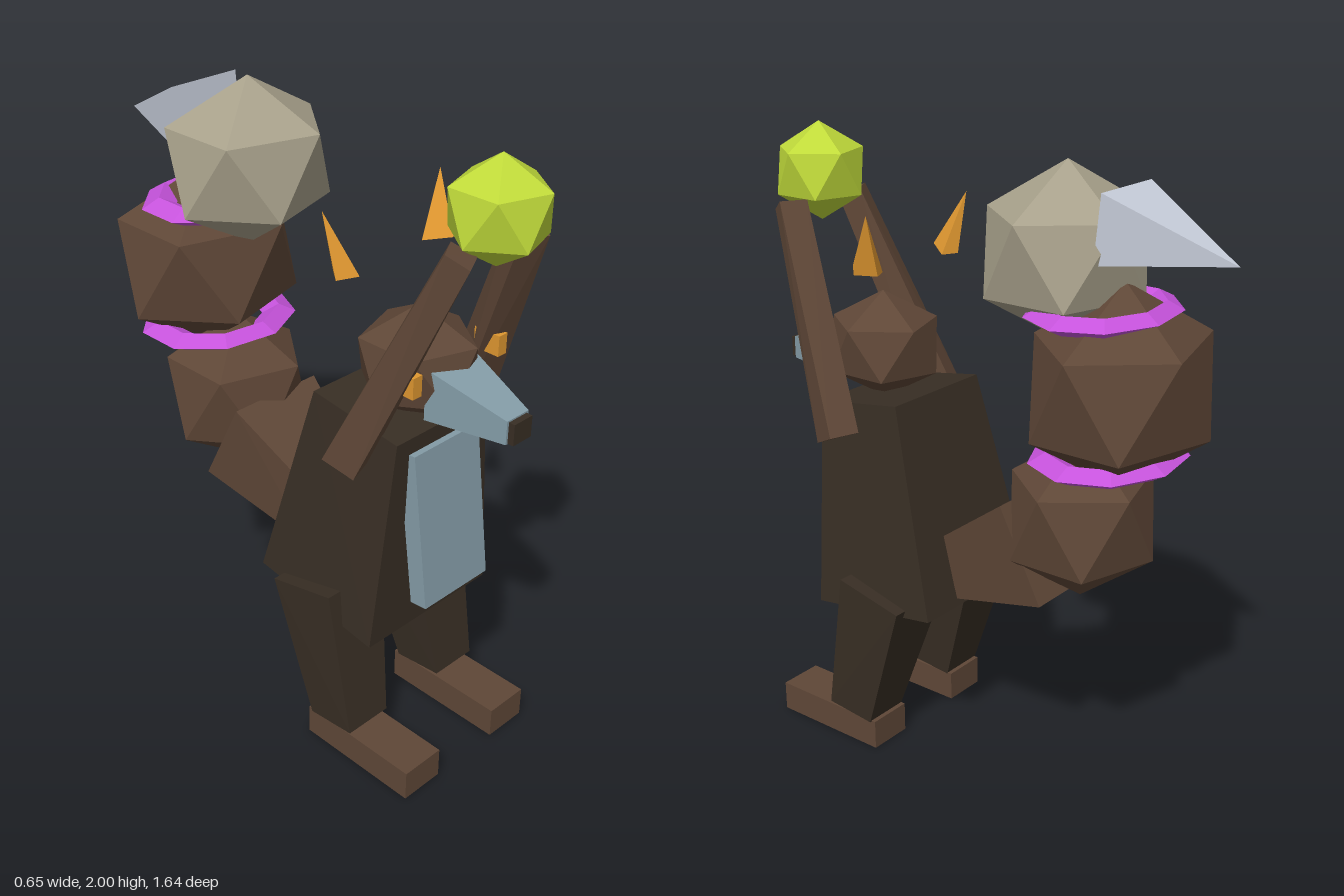
import * as THREE from 'three';
import { ConvexGeometry } from 'three/addons/geometries/ConvexGeometry.js';

const mat = (name, color) => {
  const m = new THREE.MeshStandardMaterial({ color, flatShading: true });
  m.name = name;
  return m;
};

export function createModel() {
  const model = new THREE.Group();
  const brown = mat('brown fur', 0x5f4737);
  const dark = mat('dark fur', 0x382e24);
  const blue = mat('blue grey', 0x849ca7);
  const stone = mat('stone', 0xa8a18b);
  const steel = mat('steel', 0xc6ccd9);
  const lime = mat('lime', 0xc0da3a);
  const purple = mat('purple', 0xc653dc);
  const orange = mat('orange', 0xdf9730);

  const add = (name, geo, material) => {
    const mesh = new THREE.Mesh(geo, material);
    mesh.name = name;
    model.add(mesh);
    return mesh;
  };
  // Solid spanned by a few corner points; side = -1 mirrors it in x
  const solid = (name, corners, material, side = 1) =>
    add(name, new ConvexGeometry(corners.map(([x, y, z]) => new THREE.Vector3(x * side, y, z))), material);
  // Solid symmetric in x, from corners given for the left half
  const symmetric = (name, half, material) =>
    solid(name, [...half, ...half.map(([x, y, z]) => [-x, y, z])], material);
  const box = (name, size, pos, material) => {
    const m = add(name, new THREE.BoxGeometry(...size), material);
    m.position.set(...pos);
    return m;
  };
  // Twenty-sided ball standing on a pole, with two rings of five points
  const ball = (name, r, pos, material) => {
    const pts = [new THREE.Vector3(0, 1, 0), new THREE.Vector3(0, -1, 0)];
    for (let i = 0; i < 10; i++) {
      const a = i * Math.PI / 5;
      pts.push(new THREE.Vector3(0.8944 * Math.cos(a), i % 2 ? -0.4472 : 0.4472, 0.8944 * Math.sin(a)));
    }
    const m = add(name, new ConvexGeometry(pts).scale(...r), material);
    m.position.set(...pos);
  };

  // Torso and belly
  symmetric('torso', [[0.19, 1.155, 0.54], [0.2, 1.205, 0.22], [0.26, 0.54, 0.053], [0.26, 0.473, 0.52]], dark);
  symmetric('belly', [[0.137, 1.105, 0.56], [0.137, 1.1, 0.5], [0.137, 0.605, 0.568], [0.137, 0.61, 0.626]], blue);

  // Head
  ball('head', [0.19, 0.177, 0.2], [0, 1.318, 0.437], brown);
  symmetric('snout', [[0.095, 1.365, 0.55], [0.095, 1.205, 0.55], [0.045, 1.285, 0.8], [0.045, 1.212, 0.8]], blue);
  box('nose', [0.075, 0.066, 0.05], [0, 1.247, 0.795], dark);

  // Paired parts
  for (const s of [1, -1]) {
    box('foot', [0.15, 0.1, 0.42], [s * 0.2, 0.05, 0.49], brown);
    solid('leg', [
      [0.07, 0.605, 0.387], [0.3, 0.605, 0.387], [0.07, 0.55, 0.149], [0.3, 0.55, 0.149],
      [0.12, 0.117, 0.47], [0.285, 0.117, 0.47], [0.125, 0.095, 0.297], [0.28, 0.095, 0.297],
    ], dark, s);
    solid('arm', [
      [0.325, 1.1, 0.38], [0.29, 1.056, 0.47], [0.18, 1.06, 0.43], [0.24, 1.105, 0.34],
      [0.195, 1.777, 0.68], [0.16, 1.74, 0.737], [0.09, 1.745, 0.7], [0.12, 1.777, 0.635],
    ], brown, s);
    box('eye', [0.035, 0.065, 0.09], [s * 0.178, 1.358, 0.55], orange);
    solid('ear', [
      [0.235, 1.79, 0.285], [0.14, 1.6, 0.31], [0.19, 1.618, 0.385], [0.235, 1.605, 0.34], [0.19, 1.6, 0.285],
    ], orange, s);
  }

  // Ball held overhead
  ball('heldBall', [0.156, 0.156, 0.156], [0, 1.844, 0.69], lime);

  // Tail: a widening stem, two bulbs with collars, a stone end and a spike
  symmetric('tailStem', [[0.1, 0.74, 0.15], [0.1, 0.55, 0.1], [0.17, 0.965, -0.16], [0.17, 0.674, -0.31]], brown);
  ball('lowerTailBulb', [0.26, 0.267, 0.247], [0, 0.927, -0.342], brown);
  ball('upperTailBulb', [0.333, 0.308, 0.287], [0, 1.36, -0.467], brown);
  ball('tailEnd', [0.285, 0.262, 0.262], [0, 1.722, -0.265], stone);
  for (const [y, z, rz] of [[1.145, -0.43, 0.225], [1.575, -0.4, 0.212]]) {
    const geo = new THREE.TorusGeometry(0.78, 0.22, 4, 9).rotateX(Math.PI / 2).scale(0.27, 0.13, rz);
    add('tailCollar', geo, purple).position.set(0, y, z);
  }
  solid('tailSpike', [
    [0.125, 1.93, -0.46], [-0.125, 1.93, -0.46], [0.125, 1.73, -0.44], [-0.125, 1.73, -0.44], [0, 1.76, -0.817],
  ], steel);

  return model;
}
